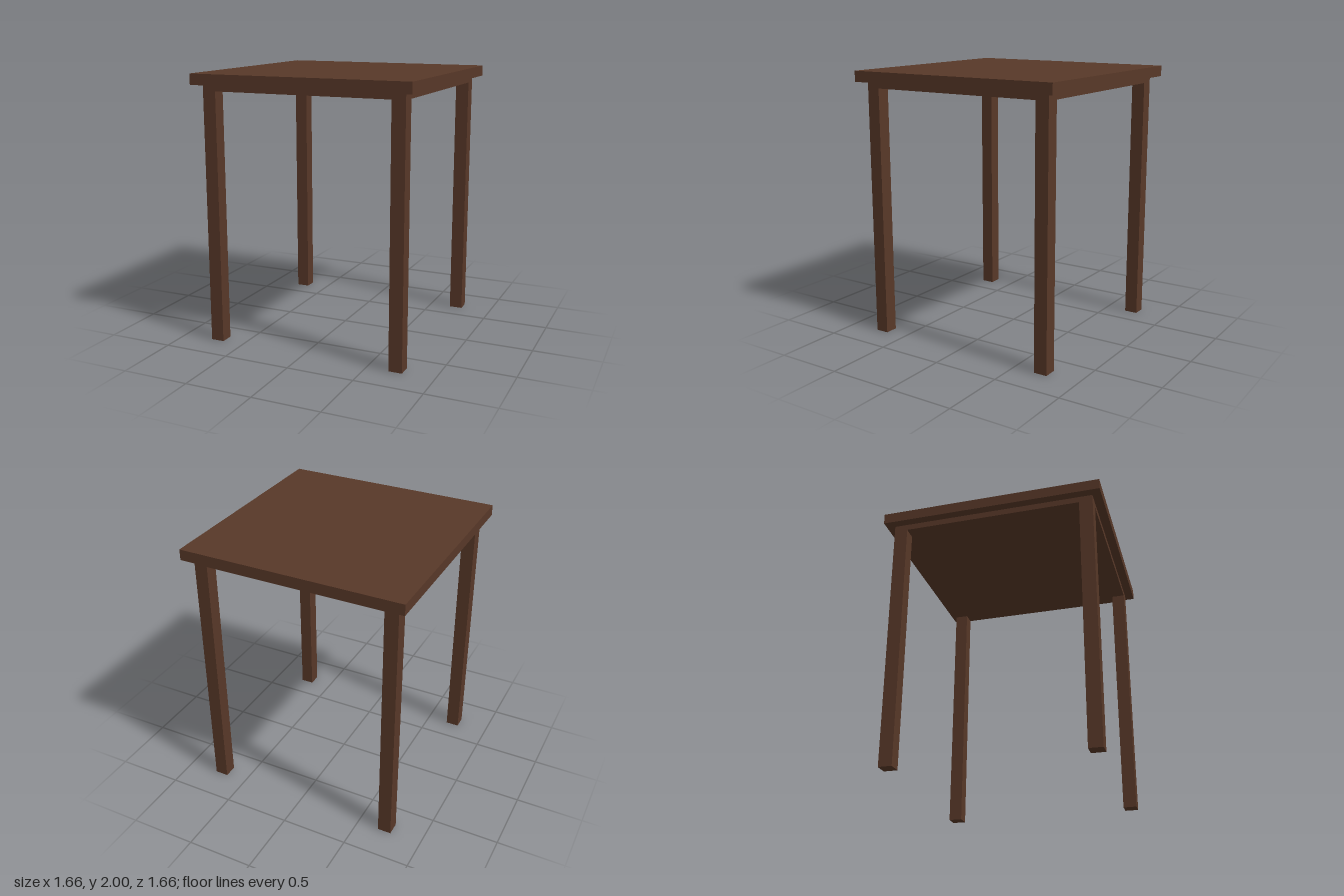
import * as THREE from 'three';

export function createModel() {
  const group = new THREE.Group();
  group.name = 'table';

  const wood = new THREE.MeshStandardMaterial({ color: 0x583828 });
  wood.name = 'darkWood';

  // Box placed by its bottom and top heights
  const addBox = (name, width, bottom, top, x = 0, z = 0) => {
    const mesh = new THREE.Mesh(new THREE.BoxGeometry(width, top - bottom, width), wood);
    mesh.name = name;
    mesh.position.set(x, (bottom + top) / 2, z);
    group.add(mesh);
  };

  const topBottom = 1.92, apronBottom = 1.875;
  const legWidth = 0.1, legCentre = 0.715;

  // Overhanging top and the solid apron block flush with the legs
  addBox('tableTop', 1.66, topBottom, 2);
  addBox('apron', 2 * legCentre + legWidth, apronBottom, topBottom);

  // Four square legs
  for (const [side, x] of [['Left', legCentre], ['Right', -legCentre]]) {
    for (const [end, z] of [['front', legCentre], ['back', -legCentre]]) {
      addBox(`${end}${side}Leg`, legWidth, 0, apronBottom, x, z);
    }
  }

  return group;
}
